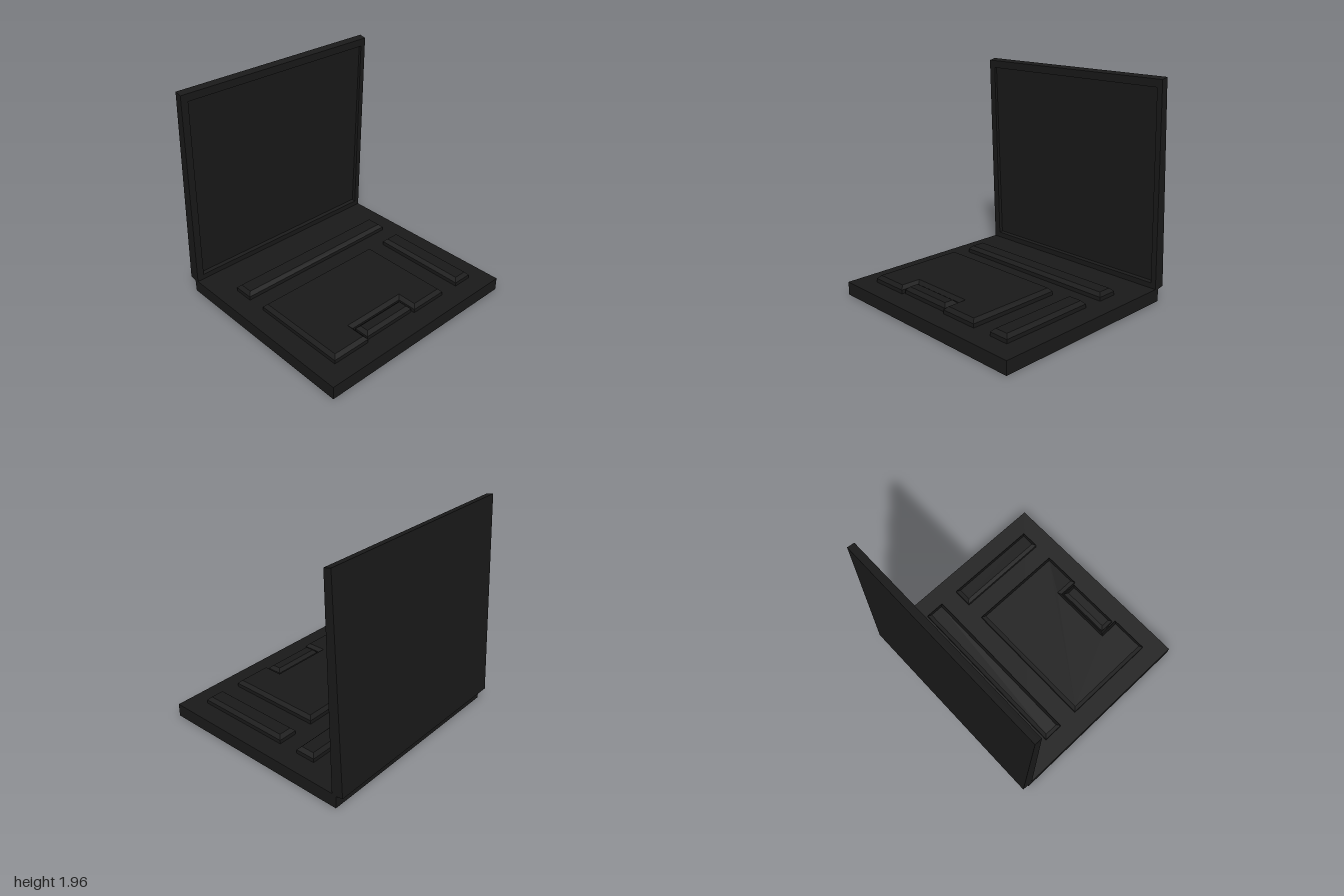
import * as THREE from 'three';

const material = new THREE.MeshStandardMaterial({ color: 0x1a1a1a, flatShading: true });

const polygon = (points) => new THREE.Shape(points.map(([x, y]) => new THREE.Vector2(x, y)));

function addMesh(parent, name, geometry) {
  const mesh = new THREE.Mesh(geometry, material);
  mesh.name = name;
  parent.add(mesh);
  return mesh;
}

// Raised pad with a chamfered rim; outline is given in [x, z], its foot sinks into the base.
function pad(outline) {
  const bevel = 0.03;
  const geometry = new THREE.ExtrudeGeometry(polygon(outline.map(([x, z]) => [x, -z])), {
    depth: 0.055, bevelEnabled: true, bevelSegments: 1,
    bevelThickness: bevel, bevelSize: bevel, bevelOffset: -bevel,
  });
  return geometry.rotateX(-Math.PI / 2).translate(0, 0.1, 0);
}

const rect = (x0, x1, z0, z1) => [[x0, z0], [x1, z0], [x1, z1], [x0, z1]];

// Lid section: s runs up the lid, t runs from its back (0) to its front (1).
const lidCorners = { back: [[-0.955, 0.125], [-0.845, 1.955]], front: [[-0.85, 0.105], [-0.78, 1.94]] };
const mix = (a, b, k) => [a[0] + (b[0] - a[0]) * k, a[1] + (b[1] - a[1]) * k];
const lidPoint = (s, t) => mix(mix(...lidCorners.back, s), mix(...lidCorners.front, s), t);

function lidPart(s0, s1, t0, t1, z0, z1) {
  const section = [lidPoint(s0, t0), lidPoint(s0, t1), lidPoint(s1, t1), lidPoint(s1, t0)];
  return new THREE.ExtrudeGeometry(polygon(section), { depth: z1 - z0, bevelEnabled: false }).translate(0, 0, z0);
}

export function createModel() {
  const model = new THREE.Group();
  model.name = 'laptop';

  // Base slab
  addMesh(model, 'base', new THREE.BoxGeometry(1.845, 0.12, 2)).position.set(0.0325, 0.06, 0);

  // Raised pads on the base
  const pads = new THREE.Group();
  pads.name = 'keyPads';
  model.add(pads);
  addMesh(pads, 'rearStrip', pad(rect(-0.5, -0.315, -0.82, 0.82)));
  addMesh(pads, 'sidePad', pad(rect(-0.13, 0.775, -0.82, -0.64)));
  addMesh(pads, 'mainPad', pad([
    [-0.13, -0.455], [0.775, -0.455], [0.775, -0.095], [0.595, -0.095],
    [0.595, 0.455], [0.775, 0.455], [0.775, 0.82], [-0.13, 0.82],
  ]));
  addMesh(pads, 'notchPad', pad(rect(0.61, 0.75, -0.08, 0.44)));

  // Tapered lid: back panel with a rim around the recessed screen
  const lid = new THREE.Group();
  lid.name = 'lid';
  model.add(lid);
  const low = 0.035, high = 0.963, recess = 0.65;
  addMesh(lid, 'screenPanel', lidPart(0, 1, 0, recess, -1, 1));
  addMesh(lid, 'bottomRim', lidPart(0, low, recess, 1, -1, 1));
  addMesh(lid, 'topRim', lidPart(high, 1, recess, 1, -1, 1));
  addMesh(lid, 'leftRim', lidPart(low, high, recess, 1, 0.935, 1));
  addMesh(lid, 'rightRim', lidPart(low, high, recess, 1, -1, -0.95));

  return model;
}
